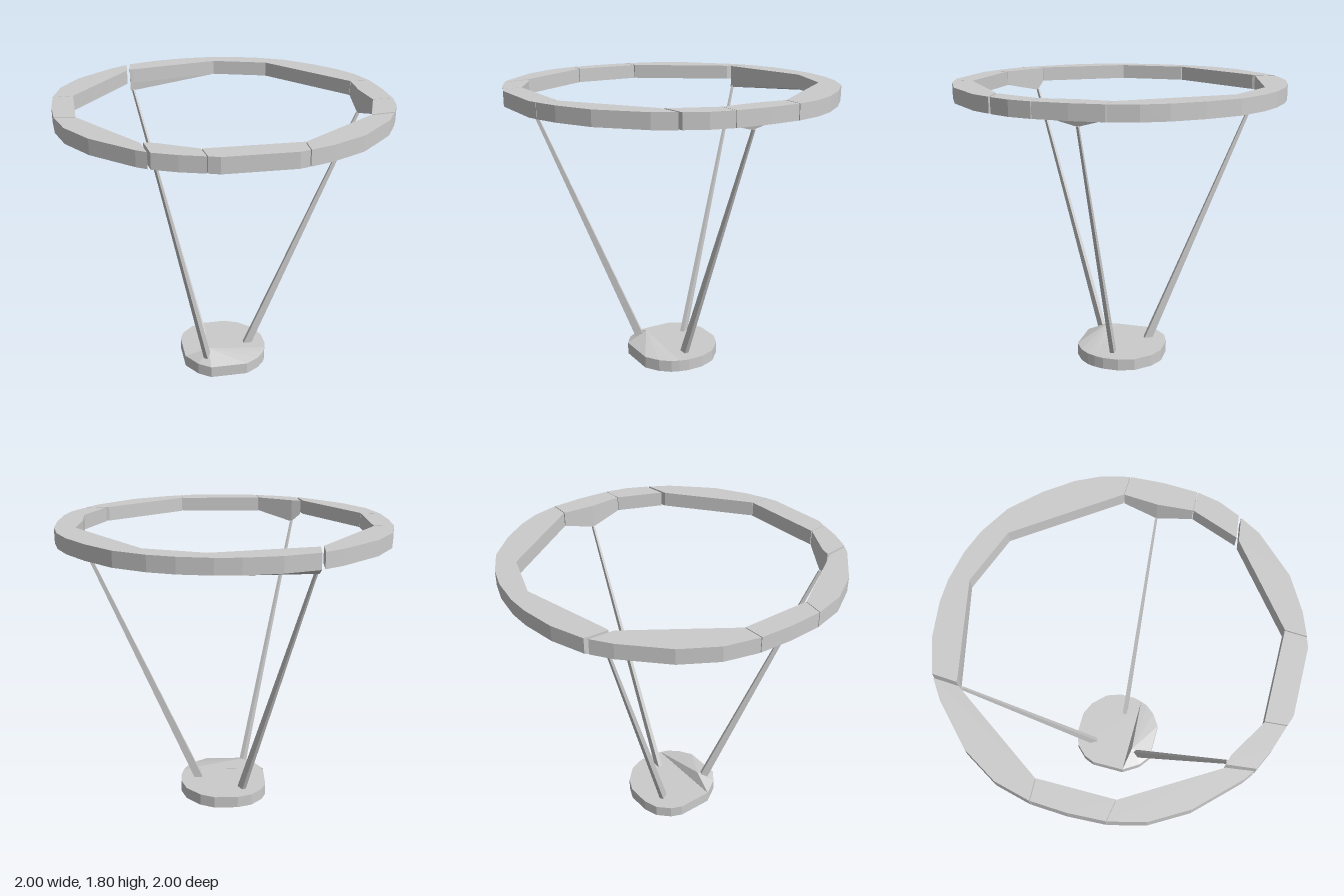
import * as THREE from 'three';
import { ConvexGeometry } from 'three/addons/geometries/ConvexGeometry.js';

const BOTTOM = 1.715, TOP = 1.805, TIP = 1.66;
const material = new THREE.MeshStandardMaterial({ color: 0xcccccc, flatShading: true });

// Flat slab from an [x, z] outline, rising from y0 to y1
function slab(points, y0, y1) {
  const outline = points.map(([x, z]) => new THREE.Vector2(x, -z));
  const geometry = new THREE.ExtrudeGeometry(new THREE.Shape(outline), { depth: y1 - y0, bevelEnabled: false });
  return geometry.rotateX(-Math.PI / 2).translate(0, y0, 0);
}

// Pull the underside corner at [x, z] down to meet a strut
function lowerCorner(geometry, [x, z]) {
  const p = geometry.attributes.position;
  for (let i = 0; i < p.count; i++) {
    if (Math.hypot(p.getX(i) - x, p.getZ(i) - z) < 0.005 && p.getY(i) < BOTTOM + 0.01) p.setY(i, TIP);
  }
  geometry.computeVertexNormals();
}

// Tapered square bar between two points, wider at the foot
function strutGeometry(foot, head) {
  const a = new THREE.Vector3(...foot), b = new THREE.Vector3(...head);
  const radial = b.clone().sub(a).setY(0).normalize();
  const side = radial.clone().cross(new THREE.Vector3(0, 1, 0));
  const geometry = new THREE.BoxGeometry(1, 1, 1);
  const p = geometry.attributes.position;
  for (let i = 0; i < p.count; i++) {
    const upper = p.getY(i) > 0;
    const v = (upper ? b : a).clone()
      .addScaledVector(radial, p.getX(i) * (upper ? 0.02 : 0.056))
      .addScaledVector(side, p.getZ(i) * (upper ? 0.012 : 0.028));
    p.setXYZ(i, v.x, v.y, v.z);
  }
  geometry.computeVertexNormals();
  return geometry;
}

export function createModel() {
  const group = new THREE.Group();
  const add = (name, geometry) => {
    const mesh = new THREE.Mesh(geometry, material);
    mesh.name = name;
    group.add(mesh);
  };

  // Ring segments: outer edge, then inner edge, and the lowered mounting corner
  const segments = [
    { name: 'ringLeft', tip: [0.85, 0],
      outer: [[0.99, -0.195], [1, 0], [0.99, 0.2]],
      inner: [[0.865, 0.205], [0.85, 0], [0.865, -0.2]] },
    { name: 'ringLeftFront',
      outer: [[0.99, 0.204], [0.96, 0.34], [0.9, 0.465]],
      inner: [[0.757, 0.483], [0.865, 0.209]] },
    { name: 'ringFrontLeft',
      outer: [[0.89, 0.48], [0.82, 0.6], [0.6, 0.82], [0.4, 0.93], [0.262, 0.98]],
      inner: [[0.268, 0.858], [0.74, 0.5]] },
    { name: 'ringFront',
      outer: [[0.257, 0.98], [0.2, 0.998], [-0.2, 0.998], [-0.26, 0.975]],
      inner: [[-0.27, 0.858], [0.263, 0.858]] },
    { name: 'ringFrontMount', tip: [-0.49, 0.73],
      outer: [[-0.265, 0.975], [-0.4, 0.93], [-0.53, 0.87]],
      inner: [[-0.548, 0.712], [-0.49, 0.73], [-0.275, 0.858]] },
    { name: 'ringRightFront',
      outer: [[-0.545, 0.86], [-0.6, 0.82], [-0.82, 0.6], [-0.94, 0.4], [-0.99, 0.204]],
      inner: [[-0.87, 0.224], [-0.565, 0.715]] },
    { name: 'ringRight',
      outer: [[-0.99, 0.2], [-1, 0], [-0.99, -0.195]],
      inner: [[-0.87, -0.2], [-0.87, 0.22]] },
    { name: 'ringRightBack',
      outer: [[-0.99, -0.2], [-0.94, -0.4], [-0.82, -0.6], [-0.6, -0.81], [-0.49, -0.885]],
      inner: [[-0.5, -0.74], [-0.87, -0.205]] },
    { name: 'ringBackMount', tip: [-0.48, -0.76],
      outer: [[-0.47, -0.9], [-0.27, -0.97], [-0.06, -1], [0.08, -1], [0.27, -0.97],
        [0.42, -0.92], [0.6, -0.82], [0.76, -0.66], [0.88, -0.5], [0.95, -0.36], [0.99, -0.2]],
      inner: [[0.865, -0.205], [0.45, -0.77], [0.11, -0.885], [-0.455, -0.762], [-0.48, -0.76]] },
  ];
  for (const { name, outer, inner, tip } of segments) {
    const geometry = slab([...outer, ...inner], BOTTOM, TOP);
    if (tip) lowerCorner(geometry, tip);
    add(name, geometry);
  }

  // Struts from the base up to the three mounting corners
  add('leftStrut', strutGeometry([0.165, 0.06, 0.005], [0.855, 1.665, -0.002]));
  add('backStrut', strutGeometry([-0.108, 0.06, -0.155], [-0.463, 1.67, -0.764]));
  add('frontStrut', strutGeometry([-0.125, 0.06, 0.155], [-0.492, 1.67, 0.73]));

  // Base disc with a low wedge around the front strut
  const frontRim = [[0.27, 0.1], [0.25, 0.15], [0.2, 0.21], [0.115, 0.265], [-0.125, 0.265], [-0.2, 0.21], [-0.27, 0.1]];
  const backRim = [[-0.27, -0.12], [-0.24, -0.19], [-0.17, -0.26], [-0.08, -0.29], [0.07, -0.29],
    [0.16, -0.25], [0.25, -0.16], [0.285, -0.06], [0.285, 0.04]];
  add('base', slab([...frontRim, ...backRim], 0, 0.075));
  const wedge = frontRim.flatMap(([x, z]) => [new THREE.Vector3(x, 0.04, z), new THREE.Vector3(x, 0.076, z)]);
  add('baseWedge', new ConvexGeometry([...wedge, new THREE.Vector3(-0.12, 0.137, 0.13)]));

  return group;
}
